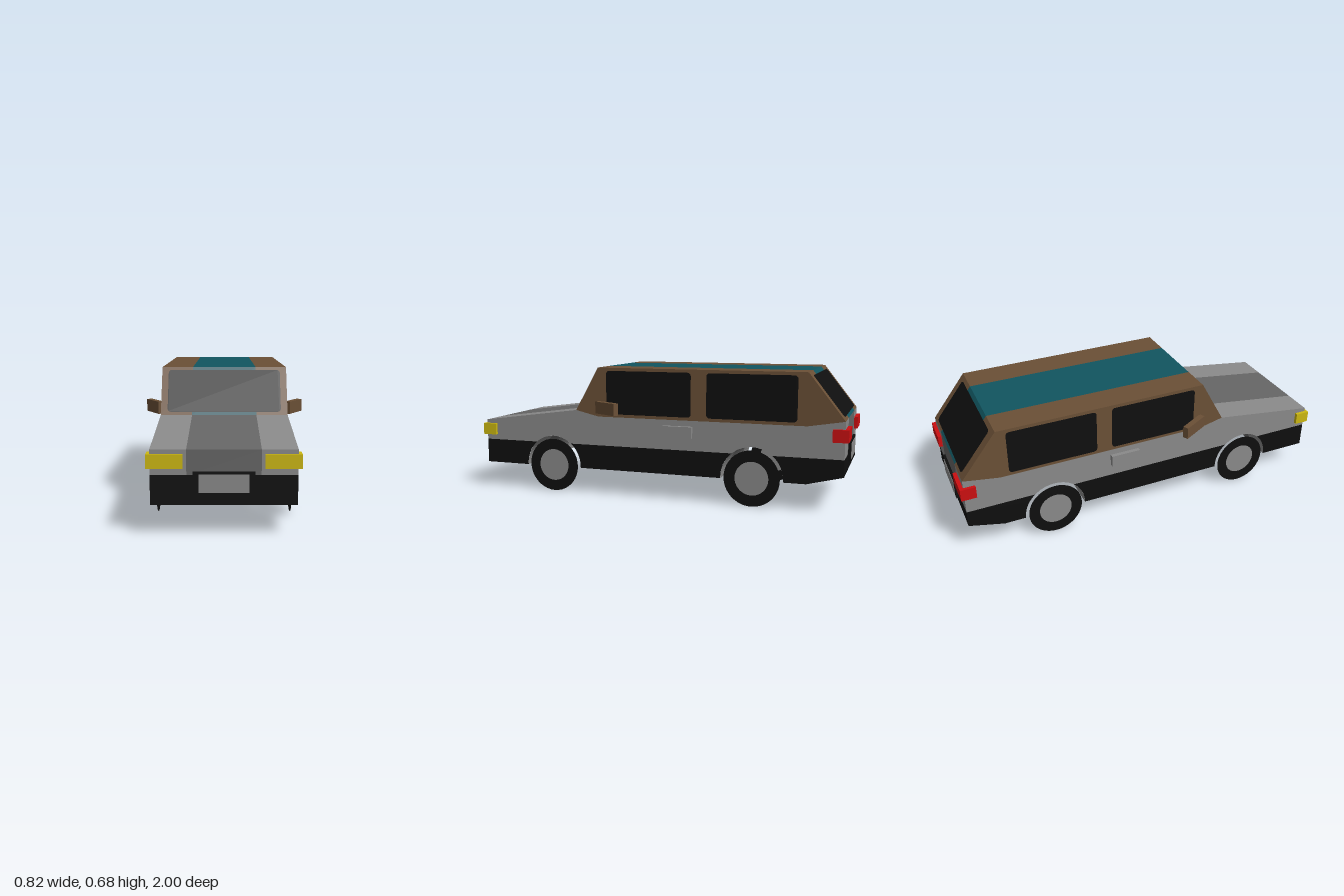
import * as THREE from 'three';

const W = 0.316, STRIPE = 0.16;              // half widths of body and centre stripe
const AXLE_Y = 0.143, AXLES = [0.57, -0.53], ARCH = 0.16;
const BELT = 0.265;                          // top of the black sill band

function material(name, color, side = THREE.FrontSide) {
  const m = new THREE.MeshStandardMaterial({ color, side });
  m.name = name;
  return m;
}

export function createModel() {
  const car = new THREE.Group();
  car.name = 'car';
  const silver = material('silver grey', 0x8a8a8a, THREE.DoubleSide);
  const grey = material('dark grey', 0x666666);
  const brown = material('brown', 0x6b5036);
  const teal = material('teal', 0x115560);
  const black = material('black', 0x0f0f0f, THREE.DoubleSide);
  const yellow = material('yellow', 0xccb811);
  const red = material('red', 0xcc0f11);

  function add(name, geometry, mat, x = 0, y = 0, z = 0) {
    const mesh = new THREE.Mesh(geometry, mat);
    mesh.name = name;
    mesh.position.set(x, y, z);
    car.add(mesh);
    return mesh;
  }

  // Points [z, y] along a wheel arch, front to back
  function arch(c, from, to, n = 12) {
    return Array.from({ length: n + 1 }, (_, i) => {
      const t = from + (to - from) * i / n;
      return [c + ARCH * Math.cos(t), AXLE_Y + ARCH * Math.sin(t)];
    });
  }
  const low = Math.asin((0.135 - AXLE_Y) / ARCH);
  const mid = Math.asin((BELT - AXLE_Y) / ARCH);
  const PI = Math.PI;
  const [F, R] = AXLES;

  // Flat-faced skin swept across the body along a [z, y] outline
  function strip(name, pts, x0, x1, mat) {
    const pos = [];
    for (let i = 0; i + 1 < pts.length; i++) {
      const [az, ay] = pts[i], [bz, by] = pts[i + 1];
      pos.push(x0, ay, az, x1, ay, az, x1, by, bz, x0, ay, az, x1, by, bz, x0, by, bz);
    }
    const g = new THREE.BufferGeometry();
    g.setAttribute('position', new THREE.Float32BufferAttribute(pos, 3));
    g.computeVertexNormals();
    add(name, g, mat);
  }
  function striped(name, pts, outer, centre) {
    strip(name + 'Right', pts, -W, -STRIPE, outer);
    strip(name + 'Stripe', pts, -STRIPE, STRIPE, centre);
    strip(name + 'Left', pts, STRIPE, W, outer);
  }

  // Front, bonnet, cabin, tail and underside
  strip('frontBumper', [[0.985, 0.135], [0.985, BELT]], -W, W, black);
  striped('bonnet', [[0.985, BELT], [0.985, 0.375], [0.43, 0.45]], silver, grey);
  striped('cabin', [[0.43, 0.45], [0.3, 0.68], [-0.8, 0.68], [-0.98, 0.45]], brown, teal);
  striped('tail', [[-0.98, 0.45], [-0.98, BELT]], silver, grey);
  strip('rearBumper', [[-0.98, BELT], [-0.98, 0.18]], -W, W, black);
  striped('underside', [
    [-0.98, 0.18], [-0.8, 0.135],
    ...arch(R, PI - low, low, 20), ...arch(F, PI - low, low, 20), [0.985, 0.135],
  ], silver, grey);

  // Side panels, drawn in [z, y] and mirrored
  const panels = [
    ['sidePanel', silver, [[0.985, BELT], ...arch(F, mid, PI - mid), ...arch(R, mid, PI - mid),
      [-0.98, BELT], [-0.98, 0.45], [-0.8, 0.42], [0.3, 0.42], [0.43, 0.45], [0.985, 0.375]]],
    ['cabinSide', brown, [[0.43, 0.45], [0.3, 0.42], [-0.8, 0.42], [-0.98, 0.45], [-0.8, 0.68], [0.3, 0.68]]],
    ['frontSill', black, [[0.985, 0.135], ...arch(F, low, mid), [0.985, BELT]]],
    ['middleSill', black, [...arch(F, PI - mid, PI - low), ...arch(R, low, mid)]],
    ['rearSill', black, [...arch(R, PI - mid, PI - low), [-0.8, 0.135], [-0.98, 0.18], [-0.98, BELT]]],
  ];

  // Rounded rectangle for glass
  function pane(w, h, r = 0.018) {
    const s = new THREE.Shape(), x = w / 2 - r, y = h / 2 - r;
    s.absarc(x, y, r, 0, PI / 2);
    s.absarc(-x, y, r, PI / 2, PI);
    s.absarc(-x, -y, r, PI, 1.5 * PI);
    s.absarc(x, -y, r, 1.5 * PI, 2 * PI);
    return new THREE.ShapeGeometry(s, 4);
  }

  for (const s of [-1, 1]) {
    const side = s < 0 ? 'right' : 'left';
    for (const [name, mat, pts] of panels) {
      const shape = new THREE.Shape(pts.map(([z, y]) => new THREE.Vector2(-s * z, y)));
      add(side + '_' + name, new THREE.ShapeGeometry(shape), mat, s * W).rotation.y = s * PI / 2;
    }
    // Side windows
    for (const [name, z, w] of [['frontWindow', 0.02, 0.465], ['rearWindow', -0.523, 0.458]])
      add(side + '_' + name, pane(w, 0.228), black, s * (W + 0.002), 0.55, z).rotation.y = s * PI / 2;
    // Flat wheels with hubs
    for (const z of AXLES) {
      const end = z > 0 ? 'Front' : 'Rear';
      add(side + end + 'Tyre', new THREE.RingGeometry(0.086, 0.143, 40), black, s * W, AXLE_Y, z).rotation.y = s * PI / 2;
      add(side + end + 'Hub', new THREE.CircleGeometry(0.086, 40), silver, s * W, AXLE_Y, z).rotation.y = s * PI / 2;
    }
    // Lamps, door handle and mirror
    add(side + 'Headlight', new THREE.BoxGeometry(0.158, 0.062, 0.077), yellow, s * 0.254, 0.325, 0.9605);
    add(side + 'TailLight', new THREE.BoxGeometry(0.158, 0.062, 0.077), red, s * 0.254, 0.381, -0.9605);
    add(side + 'DoorHandle', new THREE.BoxGeometry(0.04, 0.06, 0.156), silver, s * 0.317, 0.36, -0.143);
    add(side + 'Mirror', new THREE.BoxGeometry(0.03, 0.063, 0.155), brown, s * 0.362, 0.471, 0.232).rotation.y = -s * 0.49;
  }

  // Windscreen and rear glass lie just above the sloping faces
  const screen = add('windscreen', pane(0.566, 0.232), black, 0, 0.566, 0.367);
  screen.rotation.x = -Math.atan2(0.13, 0.23);
  const back = add('rearGlass', pane(0.536, 0.252), black, 0, 0.5635, -0.8935);
  back.rotation.set(-Math.atan2(0.18, 0.23), PI, 0, 'YXZ');

  // Blank number plates on black frames
  for (const [name, y, s, face] of [['front', 0.23, 1, 0.985], ['rear', 0.275, -1, 0.98]]) {
    add(name + 'PlateFrame', new THREE.BoxGeometry(0.266, 0.1, 0.02), black, 0, y, s * (face + 0.003));
    add(name + 'Plate', new THREE.BoxGeometry(0.216, 0.08, 0.006), silver, 0, y, s * (face + 0.0125));
  }
  return car;
}
